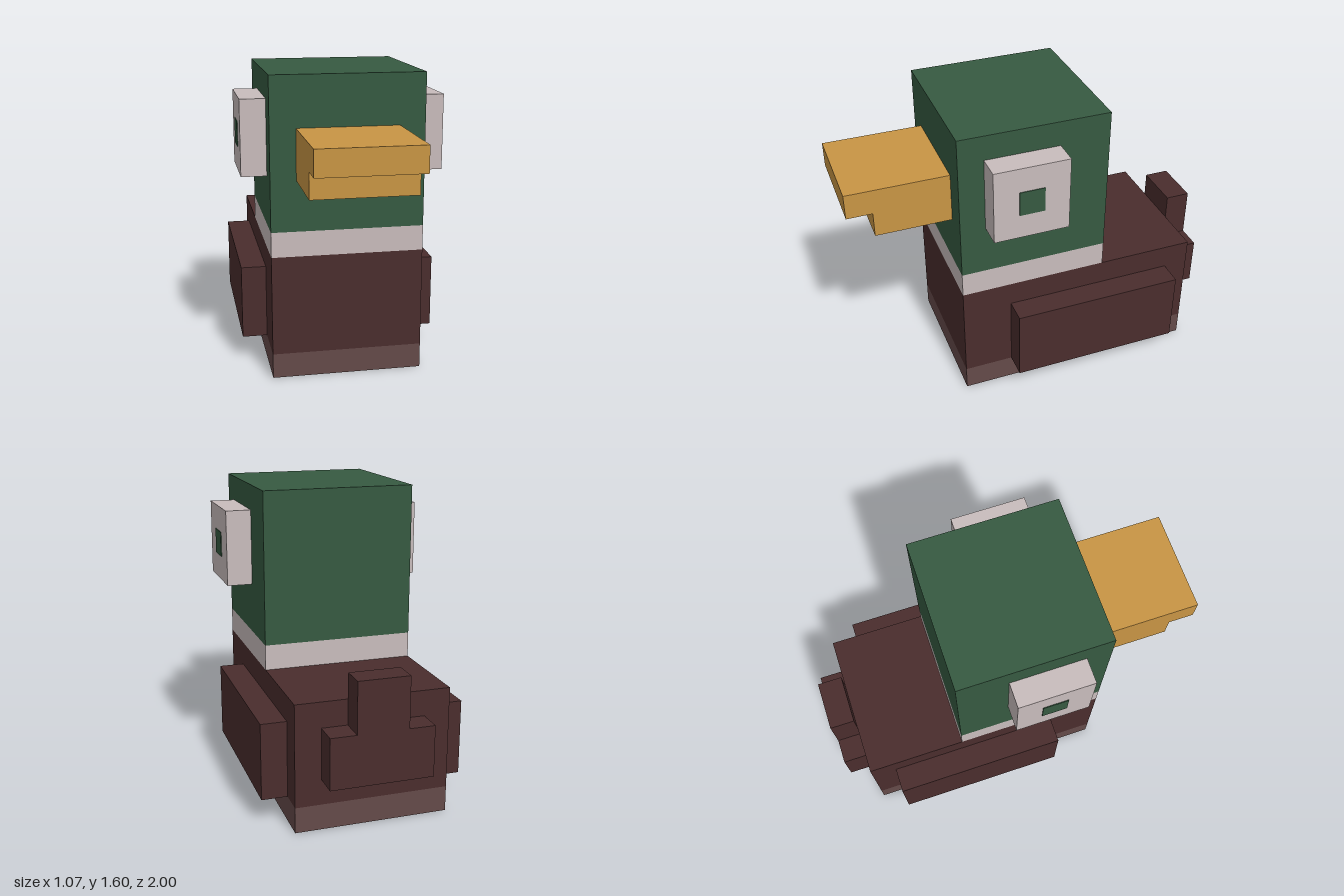
import * as THREE from 'three';

const U = 2 / 15; // one block

function material(name, color) {
  const m = new THREE.MeshStandardMaterial({ color });
  m.name = name;
  return m;
}

export function createModel() {
  const green = material('green', 0x365a41);
  const brown = material('darkBrown', 0x4a2d2d);
  const belly = material('lightBrown', 0x644a49);
  const pale = material('paleGrey', 0xc8bcbc);
  const gold = material('gold', 0xc89544);

  const model = new THREE.Group();
  model.name = 'blockDuck';

  // Box between two corners, given in blocks
  function block(name, mat, [x0, y0, z0], [x1, y1, z1]) {
    const mesh = new THREE.Mesh(
      new THREE.BoxGeometry((x1 - x0) * U, (y1 - y0) * U, (z1 - z0) * U), mat);
    mesh.position.set((x0 + x1) / 2 * U, (y0 + y1) / 2 * U, (z0 + z1) / 2 * U);
    mesh.name = name;
    model.add(mesh);
  }

  // Body, neck and head
  block('belly', belly, [-3, 0, -6.5], [3, 1, 3.5]);
  block('body', brown, [-3, 1, -6.5], [3, 5, 3.5]);
  block('neckRing', pale, [-3, 5, -2.5], [3, 6, 3.5]);
  block('head', green, [-3, 6, -2.5], [3, 12, 3.5]);

  // Beak
  block('upperBeak', gold, [-2, 9, 3.5], [2, 10, 7.5]);
  block('lowerBeak', gold, [-2, 8, 3.5], [2, 9, 6.5]);

  // Stepped tail
  block('tailBase', brown, [-2, 2, -7.5], [2, 4, -6.5]);
  block('tailTip', brown, [-1, 4, -7.5], [1, 6, -6.5]);

  // Mirrored wings, eyes and pupils
  for (const [side, s] of [['left', 1], ['right', -1]]) {
    const pair = (name, mat, x0, x1, y0, y1, z0, z1) =>
      block(side + name, mat, [Math.min(s * x0, s * x1), y0, z0], [Math.max(s * x0, s * x1), y1, z1]);
    pair('Wing', brown, 3, 4, 1, 4, -5.5, 1.5);
    pair('Eye', pale, 3, 4, 8, 11, -0.5, 2.5);
    pair('Pupil', green, 4, 4.03, 9, 10, 0.5, 1.5);
  }

  return model;
}
